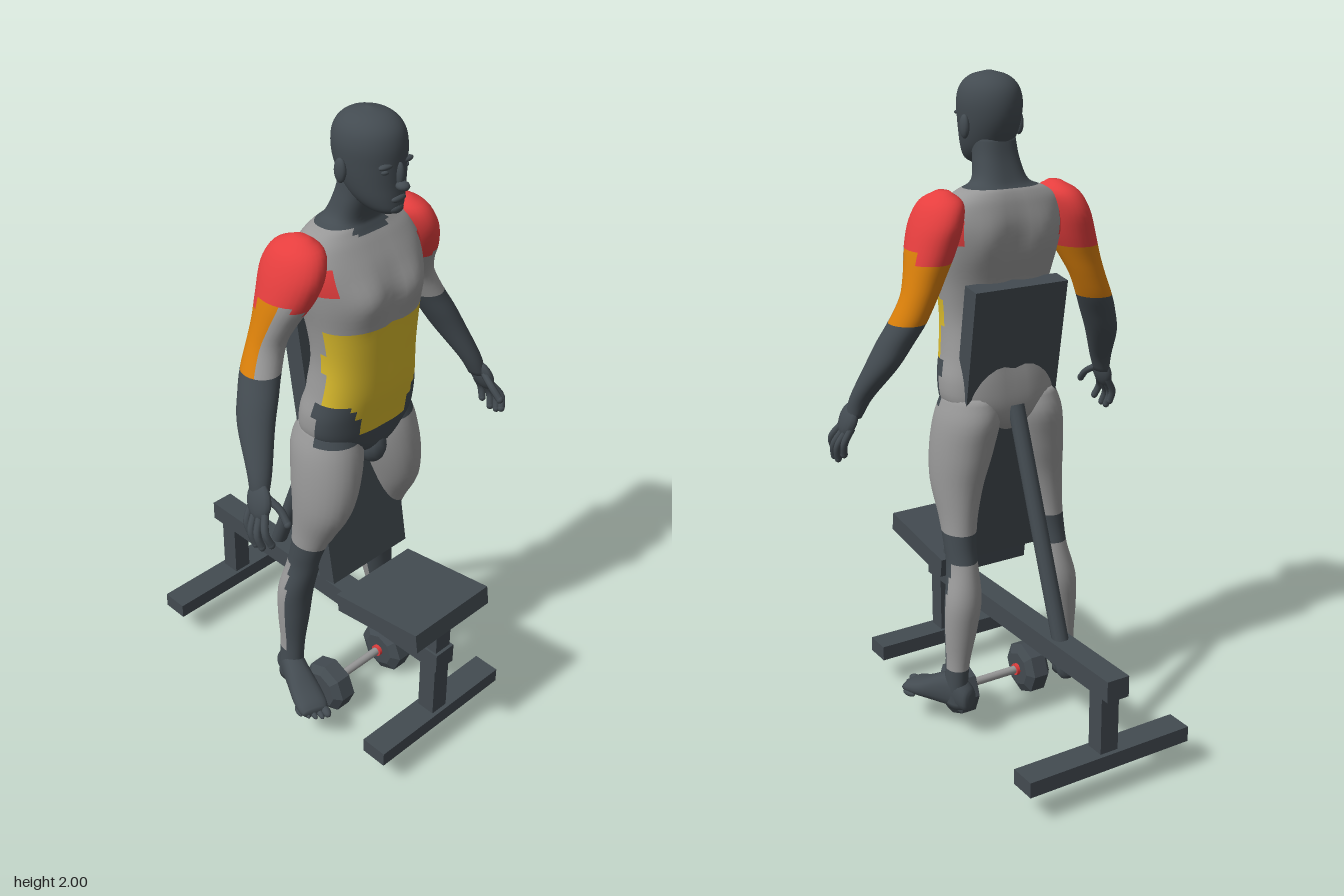
import * as THREE from 'three';

const mat = (name, color, extra = {}) => Object.assign(new THREE.MeshStandardMaterial({ color, ...extra }), { name });

export function createModel() {
  const root = new THREE.Group();
  root.name = 'trainingFigureWithBench';
  const grey = mat('muscle grey', 0x999999), dark = mat('dark slate', 0x434b51), red = mat('shoulder red', 0xe53e3e);
  const orange = mat('upper arm orange', 0xd97f0a), yellow = mat('abdomen yellow', 0xd8b92c);
  const skin = [grey, dark, red, orange, yellow];
  const GREY = 0, DARK = 1, RED = 2, ORANGE = 3, YELLOW = 4;

  const add = (name, geo, material, parent = root) => {
    const m = new THREE.Mesh(geo, material);
    m.name = name;
    parent.add(m);
    return m;
  };
  const gauss = (...v) => Math.exp(-v.reduce((s, a) => s + a * a, 0));

  // Skin horizontal cross-sections [y, cx, cz, rx, rz], listed upwards; pick() colours each face
  function loft(rings, { seg = 28, sub = 4, power = 2, pick = () => DARK, bend } = {}) {
    const mid = new THREE.CatmullRomCurve3(rings.map(r => new THREE.Vector3(r[1], r[0], r[2])), false, 'catmullrom', 0.5);
    const rad = new THREE.CatmullRomCurve3(rings.map(r => new THREE.Vector3(r[3], 0, r[4])), false, 'catmullrom', 0.5);
    const rows = (rings.length - 1) * sub, pos = [], faces = skin.map(() => []);
    const round = v => Math.sign(v) * Math.abs(v) ** (2 / power);
    for (let i = 0; i <= rows; i++) {
      const c = mid.getPoint(i / rows), r = rad.getPoint(i / rows);
      for (let j = 0; j < seg; j++) {
        const a = j / seg * Math.PI * 2;
        const p = new THREE.Vector3(c.x + r.x * round(Math.cos(a)), c.y, c.z + r.z * round(Math.sin(a)));
        if (bend) bend(p, Math.sin(a));
        pos.push(p.x, p.y, p.z);
      }
    }
    const at = k => new THREE.Vector3().fromArray(pos, k * 3);
    for (let i = 0; i < rows; i++) for (let j = 0; j < seg; j++) {
      const k = (j + 1) % seg, a = i * seg + j, b = i * seg + k, c = a + seg, d = b + seg;
      const p = at(a).add(at(d)).multiplyScalar(0.5), ang = (j + 0.5) / seg * Math.PI * 2;
      faces[pick(p, Math.cos(ang), Math.sin(ang))].push(a, c, b, b, c, d);
    }
    // End caps
    for (const [row, top] of [[0, false], [rows, true]]) {
      const c = mid.getPoint(row / rows), n = pos.length / 3;
      pos.push(c.x, c.y, c.z);
      for (let j = 0; j < seg; j++) {
        const a = row * seg + j, b = row * seg + (j + 1) % seg;
        faces[pick(c, 0, 0)].push(n, ...(top ? [b, a] : [a, b]));
      }
    }
    const g = new THREE.BufferGeometry();
    g.setAttribute('position', new THREE.Float32BufferAttribute(pos, 3));
    g.setIndex(faces.flat());
    let start = 0;
    faces.forEach((f, m) => { if (f.length) g.addGroup(start, f.length, m); start += f.length; });
    g.computeVertexNormals();
    return g;
  }

  // Add a part on the left and its mirror image on the right
  function both(name, geo, material) {
    const m = geo.clone().applyMatrix4(new THREE.Matrix4().makeScale(-1, 1, 1)), ix = m.index.array;
    for (let i = 0; i < ix.length; i += 3) [ix[i], ix[i + 1]] = [ix[i + 1], ix[i]];
    add(name + 'Left', geo, material);
    add(name + 'Right', m, material);
  }
  const blob = (x, y, z, rx, ry, rz) => new THREE.SphereGeometry(1, 14, 10).scale(rx, ry, rz).translate(x, y, z);

  // Torso and neck
  add('torso', loft([
    [0.96, 0, 0.11, 0.04, 0.06], [1.0, 0, 0.11, 0.1, 0.1], [1.05, 0, 0.11, 0.175, 0.112], [1.12, 0, 0.117, 0.187, 0.115],
    [1.2, 0, 0.13, 0.172, 0.115], [1.3, 0, 0.14, 0.163, 0.11], [1.4, 0, 0.135, 0.173, 0.118], [1.5, 0, 0.122, 0.193, 0.128],
    [1.58, 0, 0.107, 0.203, 0.117], [1.64, 0, 0.095, 0.185, 0.094], [1.675, 0, 0.09, 0.14, 0.075], [1.70, 0, 0.095, 0.085, 0.062],
    [1.76, 0, 0.115, 0.067, 0.058], [1.82, 0, 0.13, 0.062, 0.058],
  ], {
    seg: 44, sub: 5, power: 2.4,
    pick: (p, c, s) => {
      const x = Math.abs(p.x);
      if (p.y > 1.685 || (p.y > 1.66 && x < 0.06 && s > 0)) return DARK;
      if (x > 0.165 && p.y > 1.53) return RED;
      if (p.z > 0.15 && p.y > 1.075 && p.y < 1.43 && (p.y > 1.19 || x < 0.1 - (1.13 - p.y) * 0.4)) return YELLOW;
      return p.y < 1.19 && p.z > 0.13 ? DARK : GREY;
    },
    bend: (p, s) => {
      const x = Math.abs(p.x);
      // Pectorals and abdominal line in front, spine groove and shoulder blades behind
      if (s > 0) p.z += s * (0.022 * gauss((x - 0.085) / 0.06, (p.y - 1.51) / 0.06) - 0.008 * gauss(p.x / 0.015, (p.y - 1.35) / 0.2));
      else p.z -= s * (0.016 * gauss(p.x / 0.03, (p.y - 1.38) / 0.22) - 0.012 * gauss((x - 0.1) / 0.05, (p.y - 1.55) / 0.07));
    },
  }), skin);
  add('groin', blob(0, 0.985, 0.175, 0.042, 0.06, 0.05), dark);

  // Head and face
  add('head', loft([
    [1.735, 0, 0.2, 0.02, 0.035], [1.75, 0, 0.195, 0.044, 0.062], [1.78, 0, 0.175, 0.064, 0.084], [1.82, 0, 0.16, 0.077, 0.097],
    [1.87, 0, 0.15, 0.086, 0.107], [1.92, 0, 0.148, 0.089, 0.108], [1.96, 0, 0.148, 0.078, 0.094],
    [1.987, 0, 0.148, 0.05, 0.06], [2.0, 0, 0.148, 0.006, 0.008],
  ], { seg: 32 }), skin);
  add('noseBridge', blob(0, 1.85, 0.257, 0.011, 0.035, 0.014), dark);
  add('noseTip', blob(0, 1.823, 0.268, 0.018, 0.013, 0.02), dark);
  add('lips', blob(0, 1.785, 0.255, 0.025, 0.01, 0.011), dark);
  add('chin', blob(0, 1.757, 0.245, 0.025, 0.016, 0.018), dark);
  both('ear', blob(0.09, 1.85, 0.135, 0.012, 0.034, 0.02).rotateZ(0), dark);
  both('brow', blob(0.035, 1.878, 0.243, 0.026, 0.008, 0.012), dark);
  both('eye', blob(0.035, 1.862, 0.238, 0.014, 0.008, 0.012), dark);

  // Arms: red deltoid, orange back of upper arm, grey biceps, dark forearm
  both('arm', loft([
    [1.04, 0.44, 0.19, 0.022, 0.03], [1.1, 0.422, 0.172, 0.033, 0.037], [1.2, 0.382, 0.117, 0.045, 0.058], [1.27, 0.35, 0.092, 0.051, 0.061],
    [1.33, 0.32, 0.072, 0.053, 0.06], [1.4, 0.287, 0.062, 0.054, 0.056], [1.46, 0.262, 0.07, 0.06, 0.068], [1.53, 0.236, 0.083, 0.068, 0.092],
    [1.6, 0.214, 0.088, 0.067, 0.104], [1.655, 0.195, 0.09, 0.055, 0.082], [1.685, 0.187, 0.092, 0.016, 0.025],
  ], {
    pick: (p, c, s) => {
      if (p.y > 1.5 + 0.03 * Math.max(0, c) * (s > -0.5 ? 1 : 0)) return RED;
      if (p.y < 1.335) return DARK;
      return s < 0.4 ? ORANGE : GREY;
    },
  }), skin);

  // Hands: palm, four fingers and a thumb
  both('palm', blob(0, 0, 0, 0.02, 0.055, 0.044).rotateX(-0.3).rotateZ(0.3).translate(0.452, 1.03, 0.202), dark);
  const V = (x, y, z) => new THREE.Vector3(x, y, z);
  [
    [V(0.455, 1.01, 0.175), V(0.478, 0.965, 0.18), V(0.476, 0.93, 0.19)],
    [V(0.46, 1.0, 0.195), V(0.488, 0.95, 0.207), V(0.482, 0.91, 0.218)],
    [V(0.46, 1.0, 0.215), V(0.488, 0.95, 0.232), V(0.482, 0.912, 0.243)],
    [V(0.458, 1.01, 0.232), V(0.482, 0.965, 0.258), V(0.472, 0.93, 0.27)],
    [V(0.44, 1.045, 0.22), V(0.43, 1.02, 0.262), V(0.432, 0.99, 0.293)],
  ].forEach((pts, i) => {
    const name = i < 4 ? 'finger' + (i + 1) : 'thumb';
    both(name, new THREE.TubeGeometry(new THREE.CatmullRomCurve3(pts), 8, 0.011, 8), dark);
    both(name + 'Tip', blob(pts[2].x, pts[2].y, pts[2].z, 0.011, 0.012, 0.011), dark);
  });

  // Legs: grey thigh and calf, dark knee and shin
  both('leg', loft([
    [0.1, 0.2, 0.036, 0.033, 0.045], [0.16, 0.2, 0.038, 0.034, 0.042], [0.25, 0.193, 0.037, 0.036, 0.042], [0.35, 0.183, 0.034, 0.05, 0.049],
    [0.45, 0.173, 0.034, 0.057, 0.054], [0.55, 0.162, 0.056, 0.047, 0.055], [0.62, 0.159, 0.074, 0.048, 0.057], [0.7, 0.153, 0.094, 0.055, 0.072],
    [0.8, 0.142, 0.118, 0.074, 0.1], [0.9, 0.126, 0.118, 0.089, 0.115], [1.0, 0.11, 0.113, 0.094, 0.11], [1.08, 0.1, 0.11, 0.08, 0.088],
  ], {
    pick: (p, c, s) => {
      if (p.y > 1.035 && p.z > 0.13) return DARK;
      if (p.y > 0.65) return GREY;
      return p.y > 0.22 && p.y < 0.575 && p.z < 0.043 ? GREY : DARK;
    },
    bend: (p, s) => { if (s < 0) p.z += s * 0.016 * gauss((p.y - 1.02) / 0.07); }, // buttocks
  }), skin);

  // Feet, turned outwards
  const place = g => g.rotateY(0.35).translate(0.19, 0.09, 0.01);
  both('foot', place(loft([
    [-0.032, 0, -0.04, 0.012, 0.02], [-0.02, 0, -0.042, 0.03, 0.04], [0.03, 0, -0.058, 0.036, 0.058], [0.09, 0, -0.048, 0.042, 0.048],
    [0.15, 0, -0.032, 0.049, 0.031], [0.2, 0, -0.023, 0.048, 0.022], [0.222, 0, -0.017, 0.038, 0.013],
  ], { seg: 20, power: 2.3 }).rotateX(Math.PI / 2)), skin);
  for (let i = 0; i < 5; i++) {
    const r = i ? 0.0095 : 0.014;
    both('toe' + (i + 1), place(blob(-0.033 + i * 0.019, r, 0.228 - i * i * 0.0025, r, r, 0.024)), dark);
  }

  // Bench
  const bench = new THREE.Group();
  bench.name = 'bench';
  root.add(bench);
  const box = (name, w, h, d, y, z, tilt = 0) => {
    const m = add(name, new THREE.BoxGeometry(w, h, d), dark, bench);
    m.position.set(0, y, z);
    m.rotation.x = tilt;
  };
  box('mainBeam', 0.074, 0.065, 1.03, 0.357, -0.013);
  box('frontPost', 0.06, 0.35, 0.06, 0.31, 0.462);
  box('backPost', 0.06, 0.2, 0.06, 0.23, -0.462);
  box('frontFoot', 0.514, 0.048, 0.085, 0.114, 0.462);
  box('backFoot', 0.556, 0.048, 0.085, 0.114, -0.464);
  box('seatPad', 0.31, 0.06, 0.326, 0.506, 0.362, -0.147);
  box('seatStrut', 0.05, 0.13, 0.04, 0.43, 0.385, -0.62);
  box('backrestPad', 0.31, 0.89, 0.062, 0.978, 0.077, -0.173);
  const strut = add('backrestStrut', new THREE.CylinderGeometry(0.025, 0.025, 0.71, 12), dark, bench);
  strut.position.set(0, 0.715, -0.115);
  strut.rotation.x = Math.atan2(0.24, 0.65);

  // Dumbbell with eight-sided heads
  const bell = new THREE.Group();
  bell.name = 'dumbbell';
  bell.position.set(0, 0.086, 0.142);
  root.add(bell);
  const flatDark = mat('dark slate', 0x434b51, { flatShading: true });
  const profile = [[0, 0.09], [0.055, 0.09], [0.085, 0.105], [0.085, 0.155], [0.06, 0.174], [0, 0.174]];
  const head = new THREE.LatheGeometry(profile.map(p => new THREE.Vector2(...p)), 8);
  add('handle', new THREE.CylinderGeometry(0.013, 0.013, 0.19, 12).rotateZ(Math.PI / 2), grey, bell);
  for (const s of [1, -1]) {
    const side = s > 0 ? 'Left' : 'Right';
    add('weight' + side, head.clone().rotateZ(-s * Math.PI / 2), flatDark, bell);
    add('collar' + side, new THREE.CylinderGeometry(0.019, 0.019, 0.012, 12).rotateZ(Math.PI / 2).translate(s * 0.085, 0, 0), red, bell);
  }
  return root;
}
